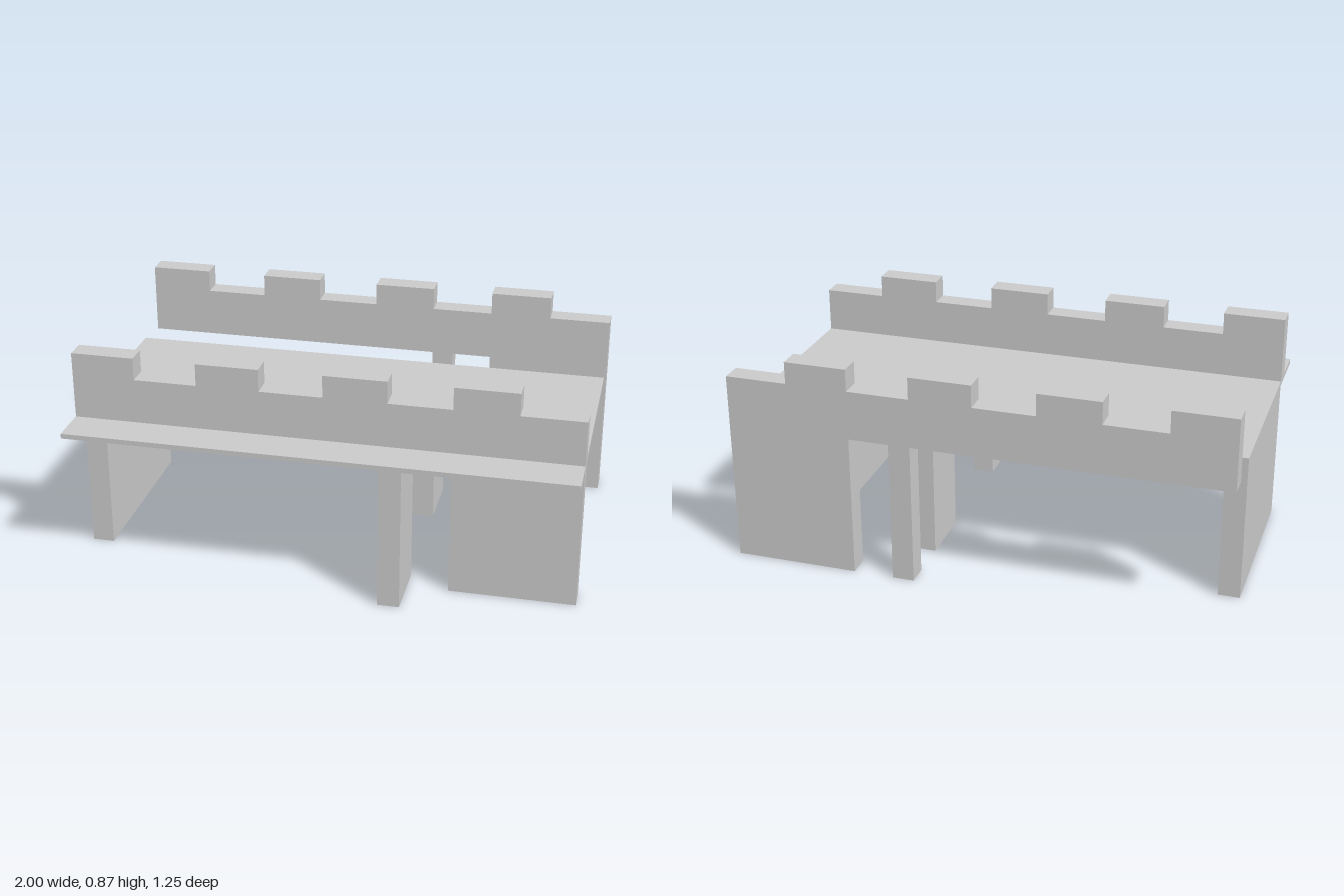
import * as THREE from 'three';

const T = 0.087;          // wall thickness
const UNDER = 0.58;       // underside of deck and parapets
const DECK = 0.6;         // deck surface
const PARAPET = 0.78;     // bottom of the crenels
const TOP = 0.87;         // top of the merlons
const FRONT = 0.625;      // half depth of the model
const INNER = 0.375;      // inner face of the front wall, half depth of side walls

export function createModel() {
  const group = new THREE.Group();
  const material = new THREE.MeshStandardMaterial({ color: 0xcccccc, flatShading: true });

  const add = (name, geometry) => {
    const mesh = new THREE.Mesh(geometry, material);
    mesh.name = name;
    group.add(mesh);
    return mesh;
  };
  // Box given by its min and max on each axis
  const box = (name, x0, x1, y0, y1, z0, z1) =>
    add(name, new THREE.BoxGeometry(x1 - x0, y1 - y0, z1 - z0))
      .position.set((x0 + x1) / 2, (y0 + y1) / 2, (z0 + z1) / 2);

  // Crenellated wall outline: gateway, narrow post, doorway and solid panel
  const outline = [
    [-1, UNDER], [0.25, UNDER], [0.25, 0], [0.25 + T, 0], [0.25 + T, UNDER],
    [0.5, UNDER], [0.5, 0], [1, 0], [1, PARAPET],
  ];
  for (let i = 3; i >= 0; i--) {
    const x = -1 + i * 0.5;
    outline.push([x + 0.25, PARAPET], [x + 0.25, TOP], [x, TOP]);
    if (i > 0) outline.push([x, PARAPET]);
  }
  const shape = new THREE.Shape(outline.map(([x, y]) => new THREE.Vector2(x, y)));
  const wall = new THREE.ExtrudeGeometry(shape, { depth: T, bevelEnabled: false });
  add('frontWall', wall).position.z = INNER;
  add('backWall', wall).position.z = -FRONT;

  // Walkway deck behind the front wall and the ledge in front of it
  box('deck', -1, 1, UNDER, DECK, -INNER, INNER);
  box('frontLedge', -1, 1, UNDER, DECK, INNER + T, FRONT);

  // Side walls carrying the deck
  for (const [name, x] of [['rightSideWall', -1], ['leftSideWall', 0.75]]) {
    box(name, x, x + T, 0, UNDER, -INNER, INNER);
  }

  // Piers in line with the wall posts
  box('frontPier', 0.25, 0.25 + T, 0, UNDER, INNER + T, FRONT);
  box('rearPier', 0.25, 0.25 + T, 0, UNDER, -INNER, -0.125);

  return group;
}
